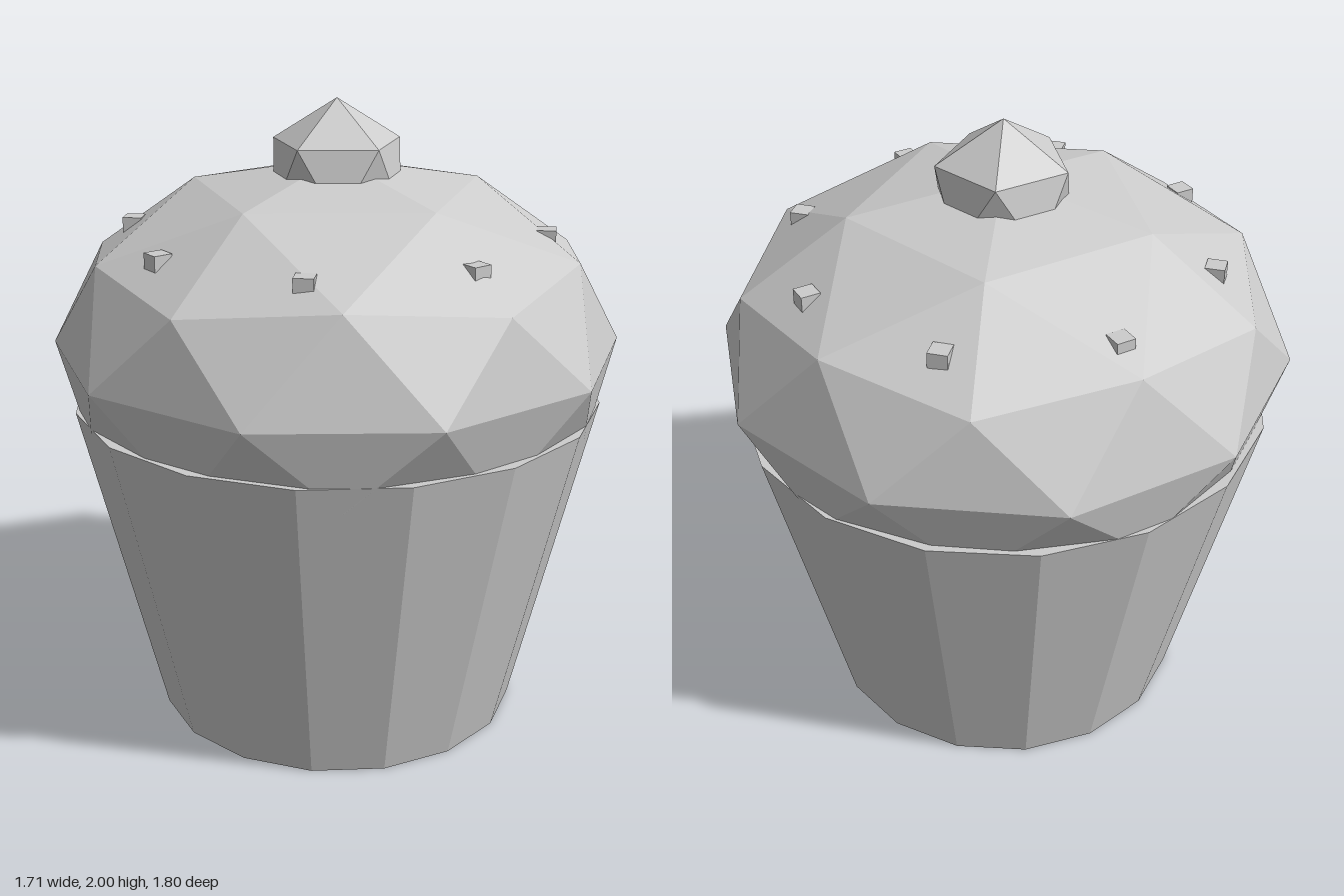
import * as THREE from 'three';

const grey = new THREE.MeshStandardMaterial({ color: 0xcccccc, flatShading: true });
grey.name = 'plain grey';

function part(name, geometry, x, y, z) {
  const mesh = new THREE.Mesh(geometry, grey);
  mesh.name = name;
  mesh.position.set(x, y, z);
  return mesh;
}

// Faceted ball standing on a corner, with its upper ring of corners starting at +x
function polarBall(radius, height, detail) {
  const geometry = new THREE.IcosahedronGeometry(1, detail);
  geometry.rotateZ(Math.atan(2 / (1 + Math.sqrt(5))));
  geometry.rotateY(Math.PI);
  geometry.scale(radius, height, radius);
  geometry.computeVertexNormals();
  return geometry;
}

export function createModel() {
  const cupcake = new THREE.Group();
  cupcake.name = 'cupcake';

  // Tapered sixteen-sided cup, closed at both ends
  const cupHeight = 1.055;
  cupcake.add(part('cup', new THREE.CylinderGeometry(0.841, 0.585, cupHeight, 16), 0, cupHeight / 2, 0));

  // Squashed dome of icing, sunk into the cup
  cupcake.add(part('frosting', polarBall(0.9, 0.585, 1), 0, 1.23, 0));

  // Cherry, half buried in the icing
  cupcake.add(part('cherry', polarBall(0.231, 0.238, 0), 0, 1.762, 0));

  // Ring of eight small sprinkles
  const sprinkles = new THREE.Group();
  sprinkles.name = 'sprinkles';
  const sprinkleShape = new THREE.BoxGeometry(0.06, 0.048, 0.06);
  for (let i = 0; i < 8; i++) {
    const angle = (i * Math.PI) / 4;
    const sprinkle = part('sprinkle', sprinkleShape, 0.65 * Math.sin(angle), 1.589, 0.65 * Math.cos(angle));
    sprinkle.rotation.y = angle;
    sprinkles.add(sprinkle);
  }
  cupcake.add(sprinkles);

  return cupcake;
}
